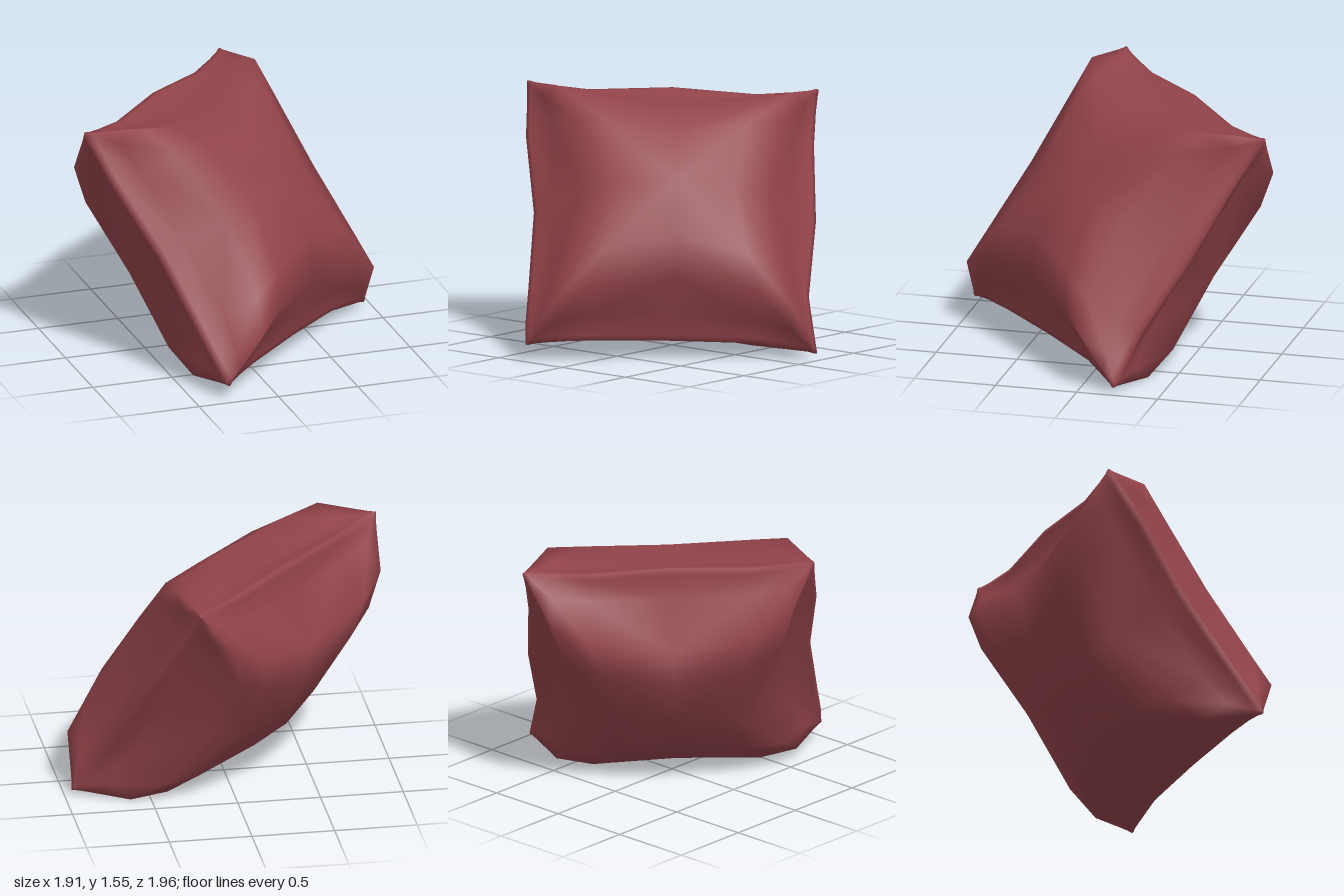
import * as THREE from 'three';
import { mergeVertices, mergeGeometries } from 'three/addons/utils/BufferGeometryUtils.js';

// Grid lines: 0 middle, 1 dome, 2 shoulder, 3 valley, 4 welt, 5 seam.
// reach[i][j]: distance from the middle of line i where it crosses line j.
// puff[i][j]: half thickness at the same crossing.
const FRONT = {
  side: 1,
  reach: [[0, 0, 0], [0.34, 0.43, 0.5], [0.565, 0.635, 0.715]],
  puff: [[0.49, 0.45, 0.365], [0.45, 0.42, 0.33], [0.365, 0.33, 0.28]],
};
const BACK = {
  side: -1,
  reach: [[0, 0, 0], [0.34, 0.43, 0.5], [0.565, 0.65, 0.715]],
  puff: [[0.54, 0.5, 0.415], [0.5, 0.46, 0.38], [0.415, 0.38, 0.285]],
};
// Valley between the shoulder and the welt, from mid side to corner
const VALLEY_REACH = [0.705, 0.72, 0.785, 0.82, 0.82, 0.82];
const VALLEY_PUFF = [0.12, 0.12, 0.12, 0.085];
const WELT = 0.03;

// Slightly uneven seam: reach along each side at lines -5 to 5
const SEAM = {
  right: [0.87, 0.87, 0.865, 0.85, 0.82, 0.86, 0.845, 0.855, 0.865, 0.87, 0.87],
  left: [0.87, 0.87, 0.87, 0.87, 0.855, 0.825, 0.875, 0.87, 0.87, 0.87, 0.87],
  top: [0.87, 0.87, 0.86, 0.845, 0.825, 0.855, 0.825, 0.845, 0.86, 0.87, 0.87],
  bottom: [0.87, 0.87, 0.86, 0.845, 0.83, 0.815, 0.815, 0.845, 0.86, 0.87, 0.87],
};

// Place of grid line a where it crosses line b
function place(half, a, b, positiveSide, negativeSide) {
  const i = Math.abs(a), j = Math.abs(b), sign = Math.sign(a);
  if (i < 3) return sign * half.reach[i][Math.min(j, 2)];
  if (i === 3) return sign * VALLEY_REACH[j];
  const seam = (a > 0 ? positiveSide : negativeSide)[b + 5];
  return sign * (i === 5 ? seam : seam - 0.02);
}

// Half thickness where lines a and b cross
function thickness(half, a, b) {
  const outer = Math.max(Math.abs(a), Math.abs(b));
  const inner = Math.min(Math.abs(a), Math.abs(b));
  if (outer === 5) return 0;
  if (outer === 4) return WELT;
  return outer === 3 ? VALLEY_PUFF[inner] : half.puff[outer][inner];
}

// One stuffed half of the cushion
function puffedSheet(half) {
  const points = [], index = [];
  for (let y = -5; y <= 5; y++) {
    for (let x = -5; x <= 5; x++) {
      points.push(
        place(half, x, y, SEAM.right, SEAM.left),
        place(half, y, x, SEAM.top, SEAM.bottom),
        half.side * thickness(half, x, y),
      );
    }
  }
  for (let r = 0; r < 10; r++) {
    for (let c = 0; c < 10; c++) {
      const a = r * 11 + c, b = a + 1, d = a + 11, e = a + 12;
      // Diagonals run from the middle toward the corners
      const radial = (r < 5) === (c < 5);
      const quad = radial ? [a, b, e, a, e, d] : [a, b, d, b, e, d];
      index.push(...(half.side > 0 ? quad : quad.reverse()));
    }
  }
  const sheet = new THREE.BufferGeometry();
  sheet.setAttribute('position', new THREE.Float32BufferAttribute(points, 3));
  sheet.setIndex(index);
  return sheet;
}

export function createModel() {
  const fabric = new THREE.MeshStandardMaterial({ color: 0x92434a });
  fabric.name = 'dark red fabric';

  // Two halves welded along the seam, with smooth normals
  const geometry = mergeVertices(mergeGeometries([puffedSheet(FRONT), puffedSheet(BACK)]), 1e-4);
  geometry.computeVertexNormals();

  const cushion = new THREE.Mesh(geometry, fabric);
  cushion.name = 'cushion';

  // Lean the cushion back along the diagonal, with a slight roll
  const right = new THREE.Vector3(1, 0, -1).normalize();
  const up = new THREE.Vector3(-1, 2, -1).normalize();
  const out = new THREE.Vector3(1, 1, 1).normalize();
  const lean = new THREE.Matrix4().makeBasis(right, up, out);
  lean.multiply(new THREE.Matrix4().makeRotationZ(THREE.MathUtils.degToRad(-2.7)));
  cushion.quaternion.setFromRotationMatrix(lean);
  cushion.position.set(0, 0.77, 0);

  const group = new THREE.Group();
  group.name = 'throwPillow';
  group.add(cushion);
  return group;
}
